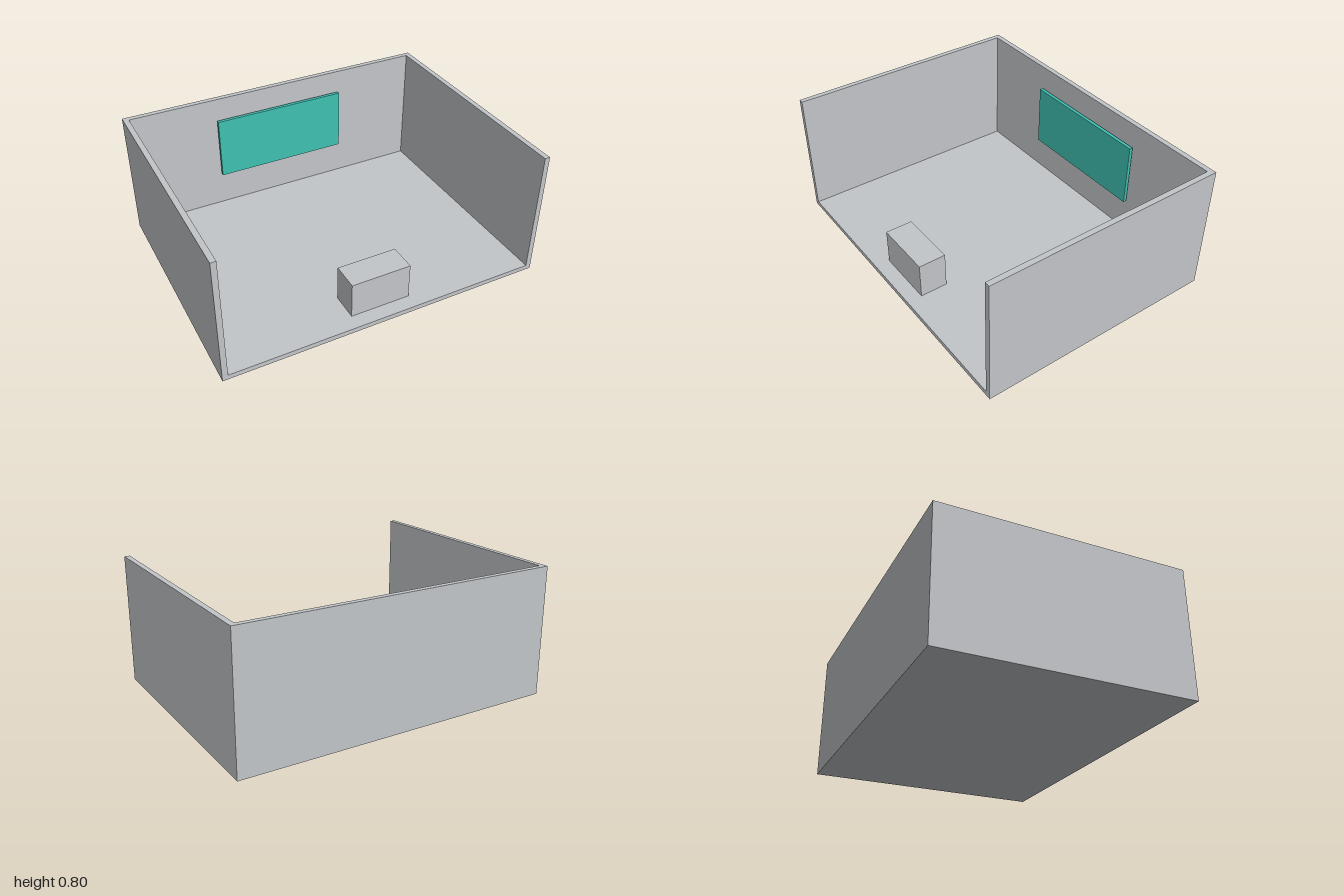
import * as THREE from 'three';

export function createModel() {
  const model = new THREE.Group();
  model.name = 'room';
  const grey = new THREE.MeshStandardMaterial({ color: 0xc3c6c9 });
  grey.name = 'light grey';
  const teal = new THREE.MeshStandardMaterial({ color: 0x40c1b3 });
  teal.name = 'teal';

  // Box given by its extents along each axis
  const block = (name, material, [x0, x1], [y0, y1], [z0, z1]) => {
    const mesh = new THREE.Mesh(new THREE.BoxGeometry(x1 - x0, y1 - y0, z1 - z0), material);
    mesh.position.set((x0 + x1) / 2, (y0 + y1) / 2, (z0 + z1) / 2);
    mesh.name = name;
    model.add(mesh);
  };

  // Shell: floor and three walls, open at the front and top
  block('floor', grey, [-1, 1], [0, 0.03], [-0.75, 0.75]);
  block('backWall', grey, [-0.967, 0.967], [0.03, 0.8], [-0.75, -0.717]);
  block('leftWall', grey, [0.967, 1], [0.03, 0.8], [-0.75, 0.75]);
  block('rightWall', grey, [-1, -0.967], [0.03, 0.8], [-0.75, 0.75]);

  // Wall screen with its slightly smaller backing
  block('screenBacking', grey, [-0.41, 0.41], [0.28, 0.646], [-0.706, -0.696]);
  block('screen', teal, [-0.427, 0.427], [0.265, 0.662], [-0.696, -0.674]);

  // Desk standing near the open side
  block('desk', grey, [-0.187, 0.187], [0.03, 0.257], [0.485, 0.657]);

  return model;
}
